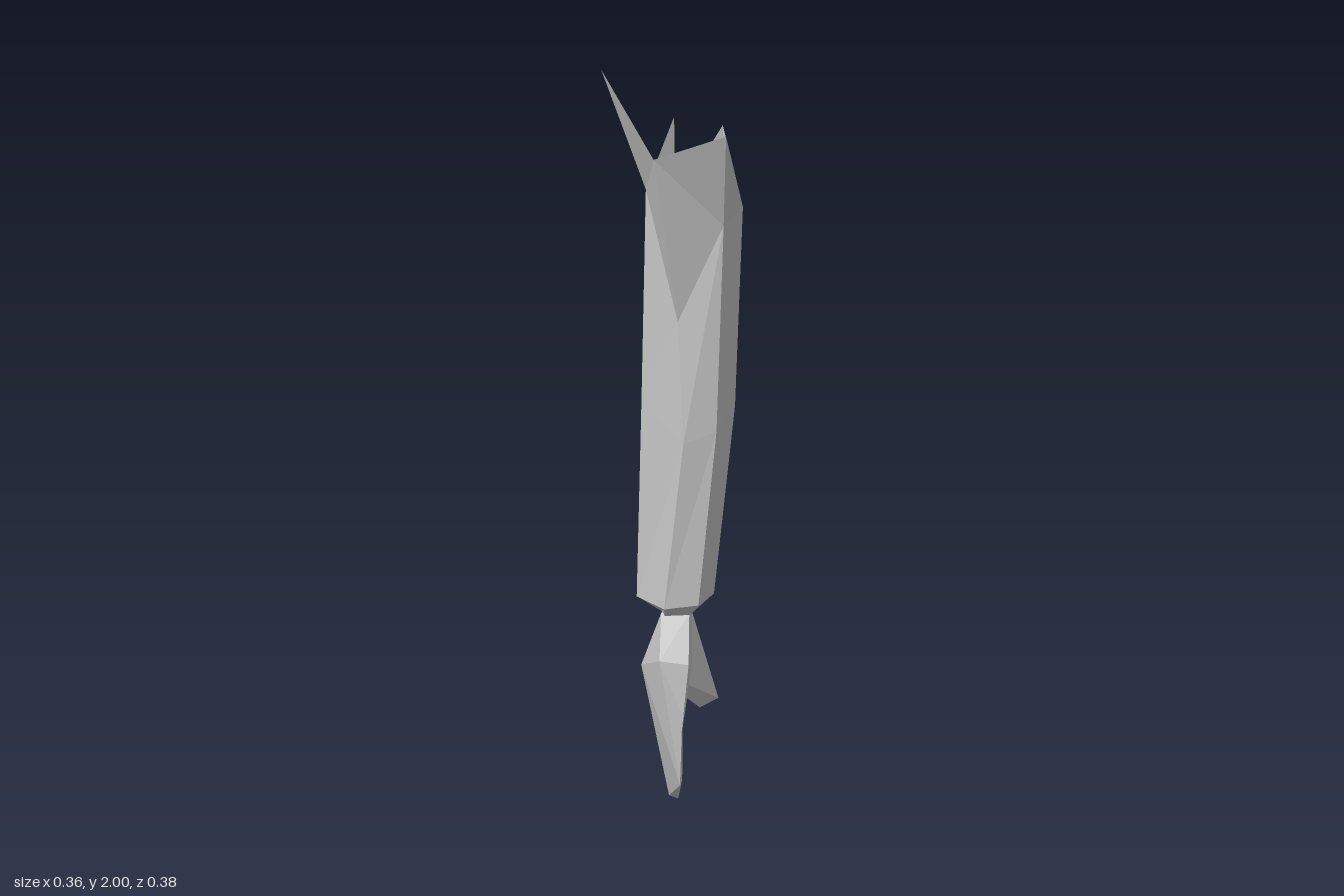
import * as THREE from 'three';
import { ConvexGeometry } from 'three/addons/geometries/ConvexGeometry.js';

const grey = new THREE.MeshStandardMaterial({ color: 0xc4c4c4, flatShading: true, side: THREE.DoubleSide });
grey.name = 'light grey';

// Turn lists of corners (counter-clockwise from outside) into flat faces
function facesMesh(name, faces) {
  const pos = [];
  for (const f of faces)
    for (let i = 1; i < f.length - 1; i++) pos.push(...f[0], ...f[i], ...f[i + 1]);
  const geo = new THREE.BufferGeometry();
  geo.setAttribute('position', new THREE.Float32BufferAttribute(pos, 3));
  geo.computeVertexNormals();
  const mesh = new THREE.Mesh(geo, grey);
  mesh.name = name;
  return mesh;
}

// Quads between two rings of equal length
function band(low, high) {
  return low.map((p, i) => {
    const j = (i + 1) % low.length;
    return [p, low[j], high[j], high[i]];
  });
}

// Chunky block spanned by a few corners
function block(name, corners) {
  const mesh = new THREE.Mesh(new ConvexGeometry(corners.map(c => new THREE.Vector3(...c))), grey);
  mesh.name = name;
  return mesh;
}

export function createModel() {
  const model = new THREE.Group();
  model.name = 'arm';

  // Six-sided sleeve rings: -x side, front, front right, +x side, back right, back
  const wrist = [[-0.03, 0.55, 0.02], [-0.02, 0.55, 0.055], [0.045, 0.55, 0.05],
    [0.05, 0.565, 0.01], [0.05, 0.59, -0.056], [-0.015, 0.565, -0.04]];
  const cuff = [[-0.095, 0.6, 0.042], [-0.02, 0.59, 0.11], [0.07, 0.6, 0.105],
    [0.11, 0.6, 0.015], [0.072, 0.6, -0.068], [-0.02, 0.6, -0.05]];
  const middle = [[-0.08, 1.15, 0.043], [0.03, 1.05, 0.12], [0.115, 1.08, 0.105],
    [0.162, 1.12, 0.005], [0.135, 1.2, -0.066], [-0.008, 1.12, -0.046]];
  const rim = [[-0.067, 1.7, 0.045], [0.015, 1.37, 0.1], [0.13, 1.62, 0.1],
    [0.178, 1.65, 0.015], [0.125, 1.84, -0.085], [0.005, 1.65, -0.042]];
  model.add(facesMesh('sleeve', [...band(cuff, middle), ...band(middle, rim)]));
  model.add(facesMesh('cuff', band(wrist, cuff)));

  // Torn flaps standing above the rim
  const [side, front, frontRight, right, , back] = rim;
  const tip = [-0.178, 2, 0.03], notch = [-0.043, 1.8, 0.165];
  const frontPeak = [0.135, 1.86, 0.172], backPeak = [0, 1.855, -0.12];
  model.add(facesMesh('tornFlaps', [
    [side, front, notch, tip],
    [frontRight, frontPeak, notch, front],
    [frontRight, right, frontPeak],
    [back, side, backPeak],
  ]));

  // Hand: palm, thumb and two finger blocks sharing the knuckles
  const hand = new THREE.Group();
  hand.name = 'hand';
  const outer = [-0.085, 0.39, 0.01];
  const knuckleA = [-0.032, 0.45, 0.128], knuckleB = [0.045, 0.44, 0.128];
  const wristBackA = [-0.02, 0.545, -0.045], wristBackB = [0.05, 0.585, -0.056];
  const thumbTop = [0.05, 0.52, -0.056];
  const thumbRoot = [0.05, 0.35, -0.1], crotch = [0.022, 0.23, 0];
  hand.add(block('palm', [[-0.03, 0.555, 0.05], [0.045, 0.555, 0.05], wristBackA, wristBackB, thumbTop,
    knuckleA, knuckleB, outer, thumbRoot, crotch, [0.025, 0.23, 0.15], [-0.04, 0.25, 0.02]]));
  hand.add(block('thumb', [wristBackA, thumbTop, outer, thumbRoot,
    [0.03, 0.29, -0.18], [0.08, 0.32, -0.19], [0.122, 0.21, -0.185], [0.07, 0.18, -0.186]]));
  hand.add(block('frontFingers', [knuckleA, [0.03, 0.35, 0.13], outer, crotch,
    [0.024, 0.12, 0.19], [-0.01, 0.01, 0.022], [0.015, 0, 0.022], [0.025, 0.05, 0.02]]));
  hand.add(block('backFingers', [[-0.075, 0.37, -0.005], [0.02, 0.33, -0.09], [-0.025, 0.34, -0.085], crotch,
    [-0.002, 0.025, -0.027], [0.02, 0.025, -0.027], [0.003, 0.02, -0.085], [0.025, 0.025, -0.087]]));
  model.add(hand);
  return model;
}
